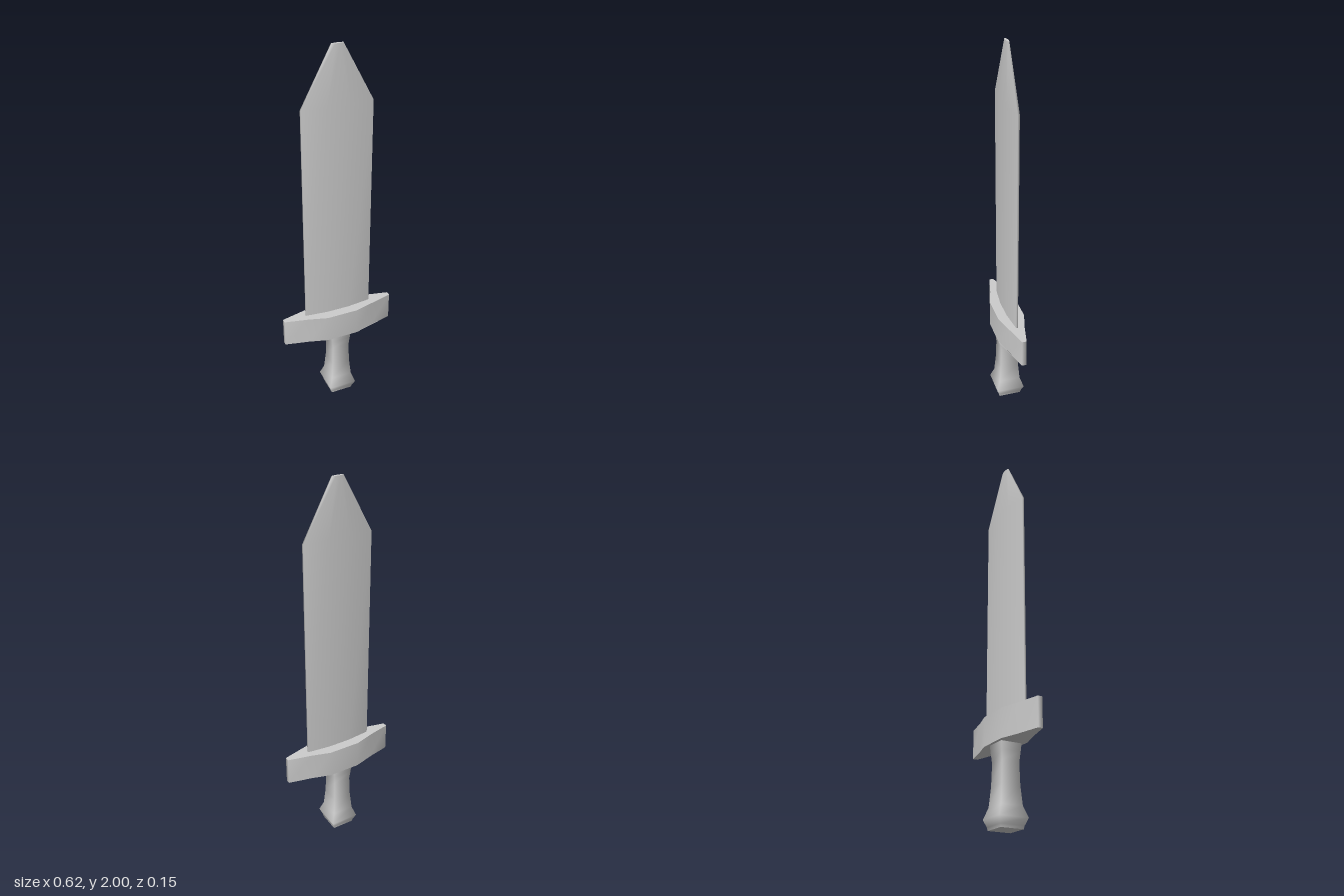
import * as THREE from 'three';

const material = new THREE.MeshStandardMaterial({ color: 0xcccccc, roughness: 0.7 });

// Mirror a quarter outline of [x, z] points into a full ring running from +x to +z to -x to -z
function mirrorRing(quarter) {
  const half = [...quarter, ...quarter.map(([x, z]) => [-x, z]).reverse()];
  return [...half, ...half.map(([x, z]) => [-x, -z])];
}

// Join convex rings [{ y, ring }] with smooth walls and crisp flat caps
function loft(levels) {
  const positions = [];
  const index = [];
  const n = levels[0].ring.length;
  const addRing = ({ y, ring }) => {
    const start = positions.length / 3;
    ring.forEach(([x, z]) => positions.push(x, y, z));
    return start;
  };
  levels.forEach(addRing);
  for (let l = 0; l < levels.length - 1; l++) {
    for (let i = 0; i < n; i++) {
      const a = l * n + i;
      const b = l * n + (i + 1) % n;
      index.push(a, a + n, b, b, a + n, b + n);
    }
  }
  const bottom = addRing(levels[0]);
  const top = addRing(levels[levels.length - 1]);
  for (let i = 1; i < n - 1; i++) {
    index.push(bottom, bottom + i, bottom + i + 1);
    index.push(top, top + i + 1, top + i);
  }
  const geometry = new THREE.BufferGeometry();
  geometry.setAttribute('position', new THREE.Float32BufferAttribute(positions, 3));
  geometry.setIndex(index);
  geometry.computeVertexNormals();
  return geometry;
}

export function createModel() {
  const group = new THREE.Group();
  const add = (name, levels) => {
    const mesh = new THREE.Mesh(loft(levels), material);
    mesh.name = name;
    group.add(mesh);
  };

  // Blade: flattened octagon, narrowing to a blunt tip
  const bladeRing = mirrorRing([[0.185, 0.005], [0.06, 0.019]]);
  const tipRing = mirrorRing([[0.03, 0.003], [0.012, 0.007]]);
  add('blade', [
    { y: 0.54, ring: bladeRing },
    { y: 1.71, ring: bladeRing },
    { y: 2, ring: tipRing },
  ]);

  // Crossguard: deep in the middle, tapering to both ends
  const guardRing = mirrorRing([[0.31, 0.012], [0.185, 0.041], [0.085, 0.071]]);
  add('crossguard', [
    { y: 0.4, ring: guardRing },
    { y: 0.55, ring: guardRing },
  ]);

  // Grip and pommel: square sections of varying half width
  const gripProfile = [
    [0, 0.06], [0.015, 0.063], [0.05, 0.077], [0.105, 0.058],
    [0.2, 0.05], [0.31, 0.047], [0.36, 0.052], [0.405, 0.056],
  ];
  add('gripAndPommel', gripProfile.map(([y, w]) => ({ y, ring: mirrorRing([[w, w]]) })));

  return group;
}
